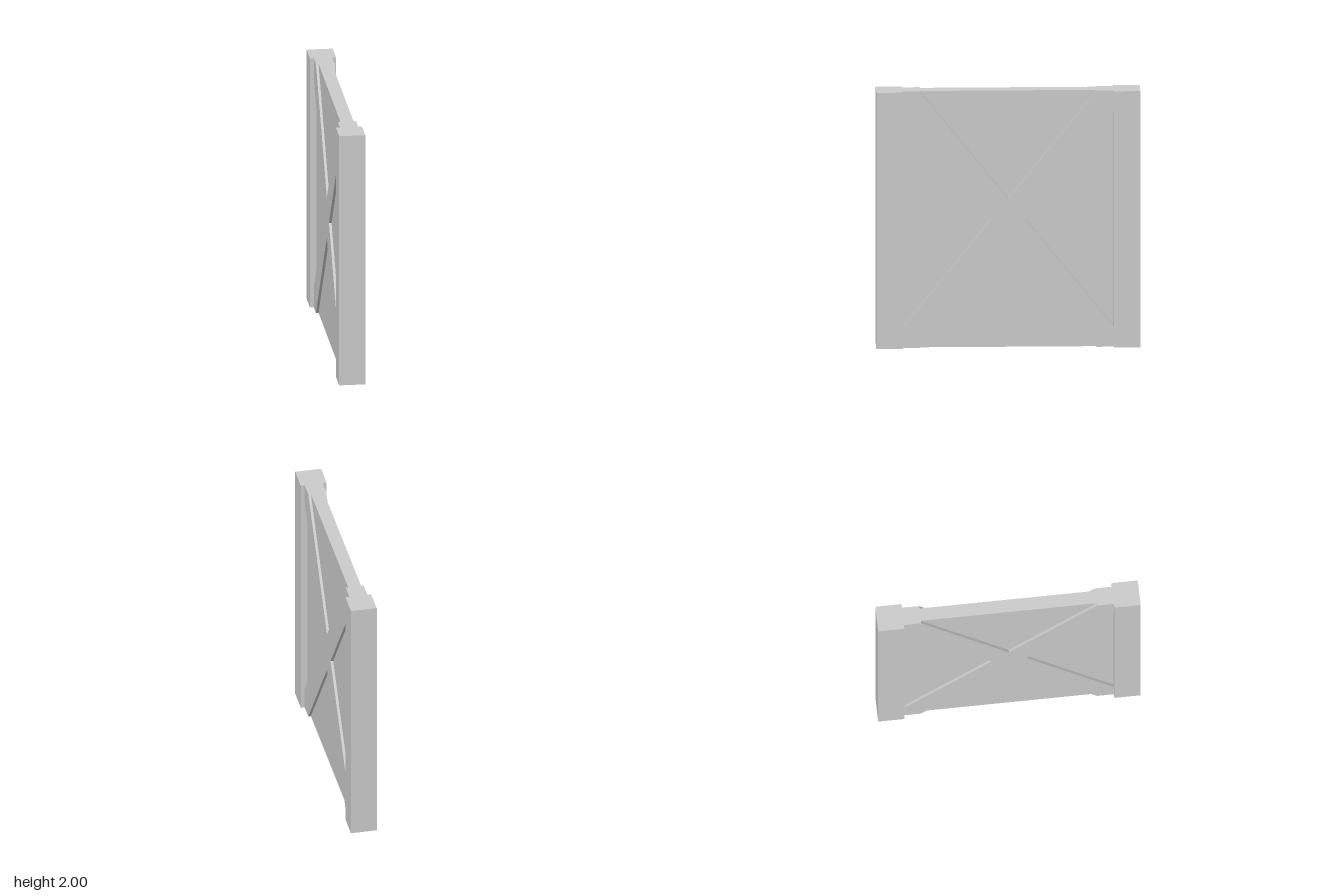
import * as THREE from 'three';

export function createModel() {
  const model = new THREE.Group();
  const material = new THREE.MeshStandardMaterial({ color: 0xcccccc, flatShading: true });

  const add = (name, geometry, y, z) => {
    const mesh = new THREE.Mesh(geometry, material);
    mesh.name = name;
    mesh.position.set(0, y, z);
    model.add(mesh);
  };

  // Square posts at both ends
  for (const [name, side] of [['frontPost', 1], ['backPost', -1]]) {
    add(name, new THREE.BoxGeometry(0.2, 2, 0.2), 1, side * 0.9);
  }

  // Thin infill panel between the posts
  add('panel', new THREE.BoxGeometry(0.1, 2, 1.6), 1, 0);

  // Crossed braces, standing proud of the panel on both faces
  const quarter = [[0.13, 0], [0.8, 0.84], [0.8, 1], [0.67, 1], [0, 0.16]];
  const mirrored = quarter.slice(1, -1).reverse().map(([u, v]) => [-u, v]);
  const upper = [...quarter, ...mirrored];
  const outline = [...upper, ...upper.map(([u, v]) => [-u, -v])];
  const cross = new THREE.Shape(outline.map(([u, v]) => new THREE.Vector2(u, v)));
  const braces = new THREE.ExtrudeGeometry(cross, { depth: 0.14, bevelEnabled: false });
  braces.translate(0, 0, -0.07).rotateY(Math.PI / 2);
  add('crossBraces', braces, 1, 0);

  return model;
}
